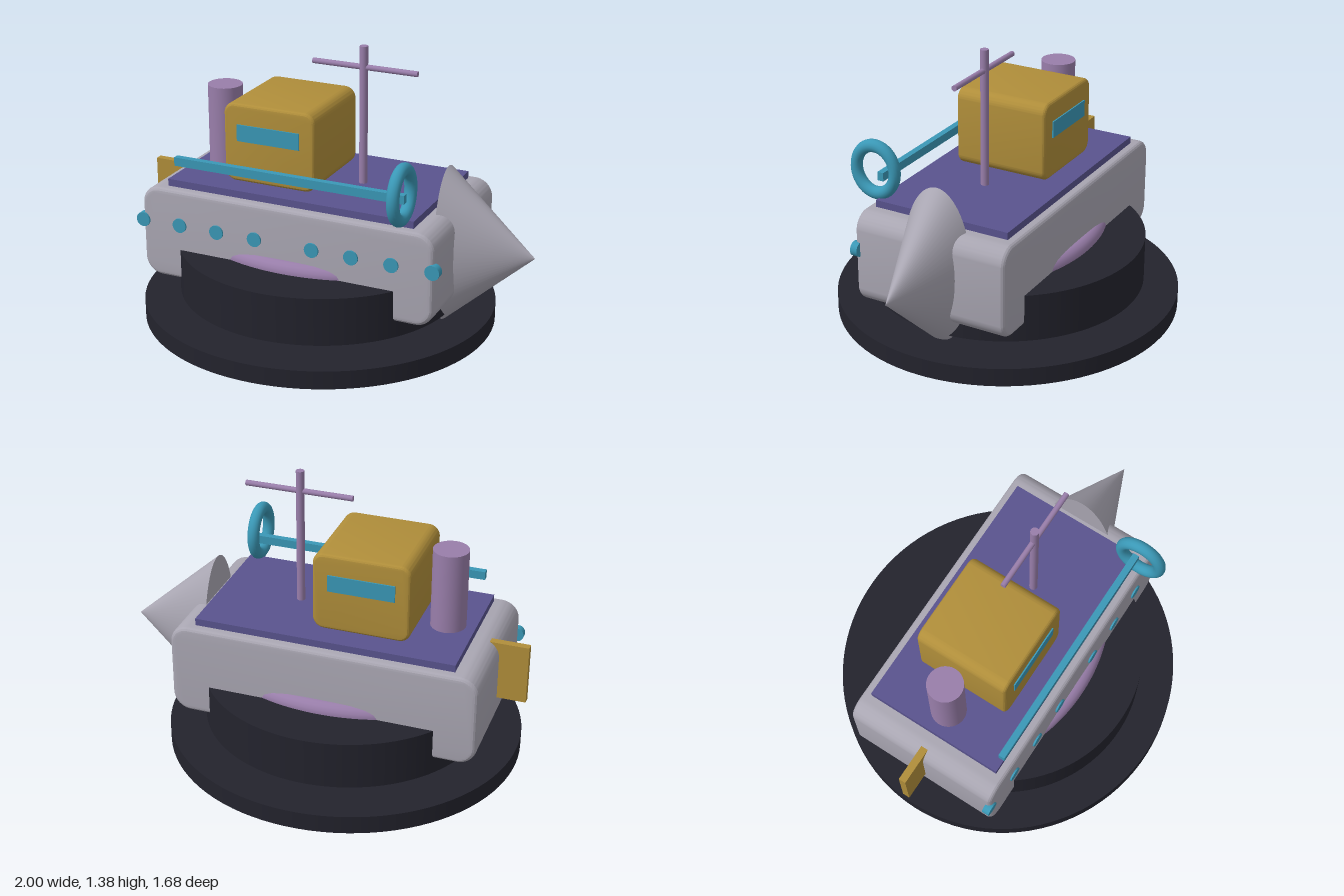
import * as THREE from 'three';
import { toCreasedNormals } from 'three/addons/utils/BufferGeometryUtils.js';

const mat = (name, color) => {
  const m = new THREE.MeshStandardMaterial({ color });
  m.name = name;
  return m;
};

// Block with rounded x-y outline and a small bevel along z, centred on the origin
function roundedBlock(w, h, d, r, bevel) {
  const x = w / 2 - bevel, y = h / 2 - bevel, c = r - bevel;
  const s = new THREE.Shape();
  s.moveTo(-x + c, -y);
  s.lineTo(x - c, -y);
  s.absarc(x - c, -y + c, c, -Math.PI / 2, 0, false);
  s.lineTo(x, y - c);
  s.absarc(x - c, y - c, c, 0, Math.PI / 2, false);
  s.lineTo(-x + c, y);
  s.absarc(-x + c, y - c, c, Math.PI / 2, Math.PI, false);
  s.lineTo(-x, -y + c);
  s.absarc(-x + c, -y + c, c, Math.PI, Math.PI * 1.5, false);
  const g = new THREE.ExtrudeGeometry(s, {
    depth: d - 2 * bevel, bevelEnabled: true, bevelSize: bevel,
    bevelThickness: bevel, bevelSegments: 4, curveSegments: 8,
  });
  g.translate(0, 0, -d / 2 + bevel);
  return toCreasedNormals(g, 0.3);
}

export function createModel() {
  const model = new THREE.Group();
  model.name = 'hovercraft';

  const grey = mat('hull grey', 0xa9a6b2);
  const dark = mat('skirt black', 0x23232d);
  const gold = mat('cabin gold', 0xb08e3a);
  const teal = mat('trim teal', 0x3a98b6);
  const mauve = mat('fitting mauve', 0x997eaa);
  const violet = mat('deck violet', 0x59538e);

  const add = (name, geometry, material, x, y, z) => {
    const mesh = new THREE.Mesh(geometry, material);
    mesh.name = name;
    mesh.position.set(x, y, z);
    model.add(mesh);
    return mesh;
  };
  const box = (w, h, d) => new THREE.BoxGeometry(w, h, d);
  const rod = (r, len, seg = 24) => new THREE.CylinderGeometry(r, r, len, seg);

  // Base plate and skirt, slightly oval
  add('basePlate', rod(1, 0.09, 96).scale(0.87, 1, 0.84), dark, -0.1, 0.045, 0);
  add('skirt', rod(1, 0.235, 96).scale(0.69, 1, 0.67), dark, -0.1, 0.2475, 0);

  // Oval ring bulging out of both hull sides
  const bulge = new THREE.TorusGeometry(0.39, 0.05, 16, 96);
  bulge.rotateX(Math.PI / 2).scale(1.47, 1, 1);
  add('skirtRing', bulge, mauve, -0.1, 0.367, 0);

  // Hull and deck
  add('hull', roundedBlock(1.51, 0.46, 0.79, 0.09, 0.025), grey, -0.105, 0.44, 0);
  add('deck', box(1.27, 0.05, 0.7), violet, -0.102, 0.68, 0);

  // Flattened nose cone pointing to +x
  const nose = new THREE.ConeGeometry(1, 0.435, 64);
  nose.rotateZ(-Math.PI / 2).scale(1, 0.39, 0.18);
  add('noseCone', nose, grey, 0.78, 0.468, 0);

  // Tail fin
  add('tailFin', box(0.2, 0.295, 0.036), gold, -0.9, 0.512, 0);

  // Cabin with a window on each side
  add('cabin', roundedBlock(0.475, 0.39, 0.48, 0.055, 0.02), gold, -0.25, 0.9, 0);
  for (const side of [1, -1]) {
    add('cabinWindow', box(0.325, 0.082, 0.009), teal, -0.252, 0.953, side * 0.242);
  }

  // Funnel, mast and yard
  add('funnel', rod(0.085, 0.4, 32), mauve, -0.605, 0.9, 0);
  add('mast', rod(0.02, 0.69), mauve, 0.13, 1.035, 0);
  add('yard', rod(0.0135, 0.53).rotateZ(Math.PI / 2), mauve, 0.135, 1.278, 0);

  // Rail along the front edge and the ring at its end
  add('rail', box(1.18, 0.042, 0.032), teal, -0.1, 0.806, 0.35);
  const ring = new THREE.TorusGeometry(0.105, 0.028, 16, 48);
  ring.rotateY(Math.PI / 2).scale(1.07, 1.12, 1);
  add('lifeRing', ring, teal, 0.485, 0.836, 0.378);

  // Portholes along the front side
  for (const x of [-0.855, -0.655, -0.455, -0.253, 0.045, 0.245, 0.445, 0.645]) {
    add('porthole', rod(0.036, 0.036).rotateX(Math.PI / 2), teal, x, 0.494, 0.385);
  }

  return model;
}
